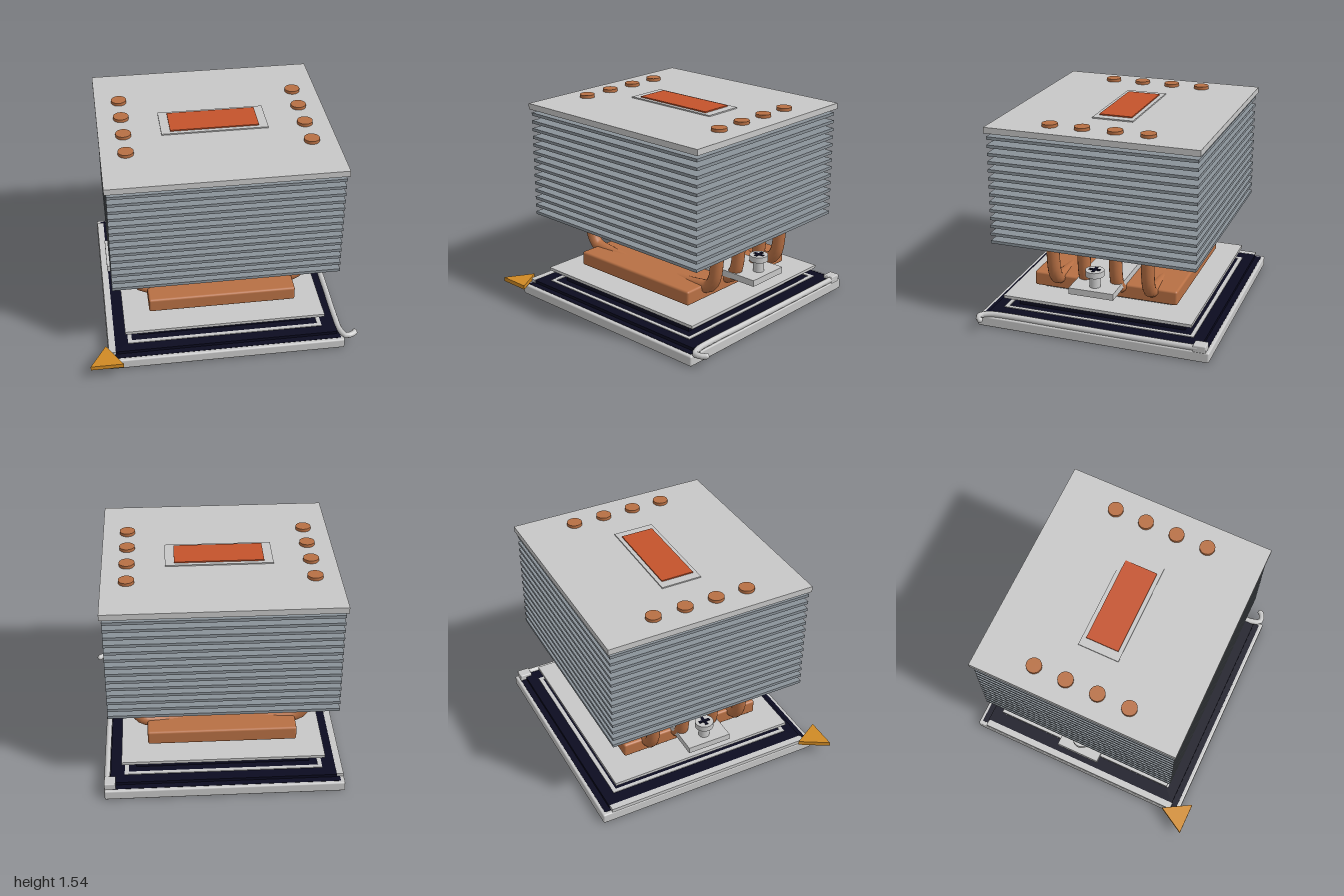
import * as THREE from 'three';
import { RoundedBoxGeometry } from 'three/addons/geometries/RoundedBoxGeometry.js';

export function createModel() {
  const model = new THREE.Group();
  const mat = (name, color) => Object.assign(new THREE.MeshStandardMaterial({ color }), { name });
  const steel = mat('light steel', 0xc8c8c8);
  const finGrey = mat('fin grey', 0x8a9299);
  const copper = mat('copper', 0xb87044);
  const dark = mat('dark socket', 0x0b0b20);
  const gold = mat('gold', 0xd08a24);
  const badgeRed = mat('badge red', 0xc4532c);

  const add = (name, geometry, material, x = 0, y = 0, z = 0) => {
    const mesh = new THREE.Mesh(geometry, material);
    mesh.name = name;
    mesh.position.set(x, y, z);
    model.add(mesh);
    return mesh;
  };
  // Box given by its limits on each axis, optionally with rounded edges
  const box = (name, material, x0, x1, y0, y1, z0, z1, round = 0) => {
    const size = [x1 - x0, y1 - y0, z1 - z0];
    const geometry = round ? new RoundedBoxGeometry(...size, 2, round) : new THREE.BoxGeometry(...size);
    return add(name, geometry, material, (x0 + x1) / 2, (y0 + y1) / 2, (z0 + z1) / 2);
  };
  const disc = (name, material, radius, x, y0, y1, z) =>
    add(name, new THREE.CylinderGeometry(radius, radius, y1 - y0, 24), material, x, (y0 + y1) / 2, z);
  // Flat triangle pointing to the back
  const marker = (name, x, z, width, depth, y0, y1) => {
    const shape = new THREE.Shape([
      new THREE.Vector2(-width / 2, -depth / 2),
      new THREE.Vector2(width / 2, -depth / 2),
      new THREE.Vector2(0, depth / 2),
    ]);
    const geometry = new THREE.ExtrudeGeometry(shape, { depth: y1 - y0, bevelEnabled: false });
    geometry.rotateX(-Math.PI / 2);
    return add(name, geometry, gold, x, y0, z);
  };

  const cx = 0.017, cz = -0.042;

  // Socket: dark floor inside a light frame
  box('socketFloor', dark, -0.835, 0.87, 0.004, 0.08, -0.9, 0.81);
  box('contactField', dark, -0.81, 0.85, 0.08, 0.102, -0.855, 0.765);
  box('frameFront', steel, -0.865, 0.895, 0, 0.078, 0.77, 0.838, 0.012);
  box('frameBack', steel, -0.865, 0.895, 0, 0.078, -0.924, -0.86, 0.012);
  box('frameLeft', steel, 0.862, 0.895, 0, 0.078, -0.9, 0.81, 0.01);
  box('frameRight', steel, -0.865, -0.825, 0, 0.078, -0.9, 0.81, 0.01);
  box('frameRail', steel, -0.86, -0.81, 0.07, 0.104, -0.85, 0.77);
  box('leverHinge', steel, 0.812, 0.895, 0.07, 0.125, -0.9, -0.805, 0.008);

  // Thin light outline around the processor
  const ring = new THREE.Shape();
  ring.moveTo(-0.73, -0.73).lineTo(0.73, -0.73).lineTo(0.73, 0.73).lineTo(-0.73, 0.73).closePath();
  const hole = new THREE.Path();
  hole.moveTo(-0.7, -0.7).lineTo(-0.7, 0.7).lineTo(0.7, 0.7).lineTo(0.7, -0.7).closePath();
  ring.holes.push(hole);
  const ringGeometry = new THREE.ExtrudeGeometry(ring, { depth: 0.007, bevelEnabled: false });
  ringGeometry.rotateX(-Math.PI / 2);
  add('socketOutline', ringGeometry, steel, cx, 0.1, cz);

  // Locking lever with a hooked handle
  const leverPath = new THREE.CatmullRomCurve3([
    [0.875, 0.098, -0.84], [0.875, 0.098, -0.4], [0.872, 0.098, 0.2], [0.868, 0.098, 0.6],
    [0.875, 0.096, 0.74], [0.905, 0.092, 0.805], [0.95, 0.092, 0.8], [0.985, 0.092, 0.775],
  ].map((p) => new THREE.Vector3(...p)));
  add('lever', new THREE.TubeGeometry(leverPath, 60, 0.022, 10), steel);
  add('leverTip', new THREE.SphereGeometry(0.022, 12, 8), steel, 0.979, 0.092, 0.775);

  // Corner markers
  marker('cornerMarker', -0.88, 0.815, 0.24, 0.206, 0.088, 0.12);
  marker('processorMarker', -0.56, 0.475, 0.16, 0.14, 0.147, 0.165);

  // Processor: substrate, small edge components, heat spreader
  box('substrate', dark, -0.625, 0.66, 0.1, 0.144, -0.685, 0.6);
  for (let i = 0; i < 8; i++) {
    const t = -0.5 + i * 0.145;
    for (const s of [-1, 1]) {
      box('edgeComponent', dark, cx + t - 0.02, cx + t + 0.02, 0.144, 0.157, cz + s * 0.6 - 0.015, cz + s * 0.6 + 0.015);
      box('edgeComponent', dark, cx + s * 0.6 - 0.015, cx + s * 0.6 + 0.015, 0.144, 0.157, cz + t - 0.02, cz + t + 0.02);
    }
  }
  box('heatSpreader', finGrey, -0.545, 0.58, 0.144, 0.185, -0.603, 0.52);
  box('loadPlate', steel, -0.73, 0.765, 0.185, 0.208, -0.76, 0.68);
  box('contactPlate', steel, -0.48, 0.51, 0.208, 0.24, -0.535, 0.45);

  // Copper base block
  box('baseBlock', copper, -0.535, 0.57, 0.235, 0.345, -0.595, 0.51, 0.016);

  // Heat pipes: U-shaped, rising through the fins, with end caps
  const half = [[0.657, 1.53], [0.657, 1.1], [0.66, 0.75], [0.655, 0.56], [0.632, 0.41], [0.585, 0.342], [0.48, 0.318], [0.25, 0.297]];
  const profile = [...half.map(([x, y]) => [-x, y]), [0, 0.29], ...half.slice().reverse()];
  const pipePath = new THREE.CatmullRomCurve3(profile.map(([x, y]) => new THREE.Vector3(x, y, 0)));
  const pipeGeometry = new THREE.TubeGeometry(pipePath, 96, 0.048, 16);
  for (const z of [-0.405, -0.165, 0.075, 0.315]) {
    add('heatPipe', pipeGeometry, copper, cx, 0, z);
    for (const s of [-1, 1]) disc('pipeCap', copper, 0.056, cx + s * 0.657, 1.515, 1.545, z);
  }

  // Mounting bracket with a cross-head screw at each end
  box('mountingBracket', steel, -0.82, 0.855, 0.348, 0.396, -0.21, 0.125);
  for (const s of [-1, 1]) {
    const x = cx + s * 0.748;
    disc('screwShaft', steel, 0.04, x, 0.39, 0.485, cz);
    disc('screwHead', steel, 0.068, x, 0.48, 0.523, cz);
    box('screwSlot', dark, x - 0.042, x + 0.042, 0.522, 0.527, cz - 0.011, cz + 0.011);
    box('screwSlot', dark, x - 0.011, x + 0.011, 0.522, 0.528, cz - 0.042, cz + 0.042);
  }

  // Cooling fins
  for (let i = 0; i < 14; i++) {
    const y = 0.66 + i * 0.06;
    box('fin', finGrey, -0.805, 0.84, y - 0.011, y + 0.011, -0.803, 0.725);
  }

  // Top plate and badge
  box('topPlate', steel, -0.82, 0.855, 1.478, 1.522, -0.82, 0.738);
  box('badgeBase', steel, -0.37, 0.403, 1.522, 1.531, -0.2, 0.105);
  box('badge', badgeRed, -0.305, 0.338, 1.531, 1.54, -0.17, 0.075);
  return model;
}
